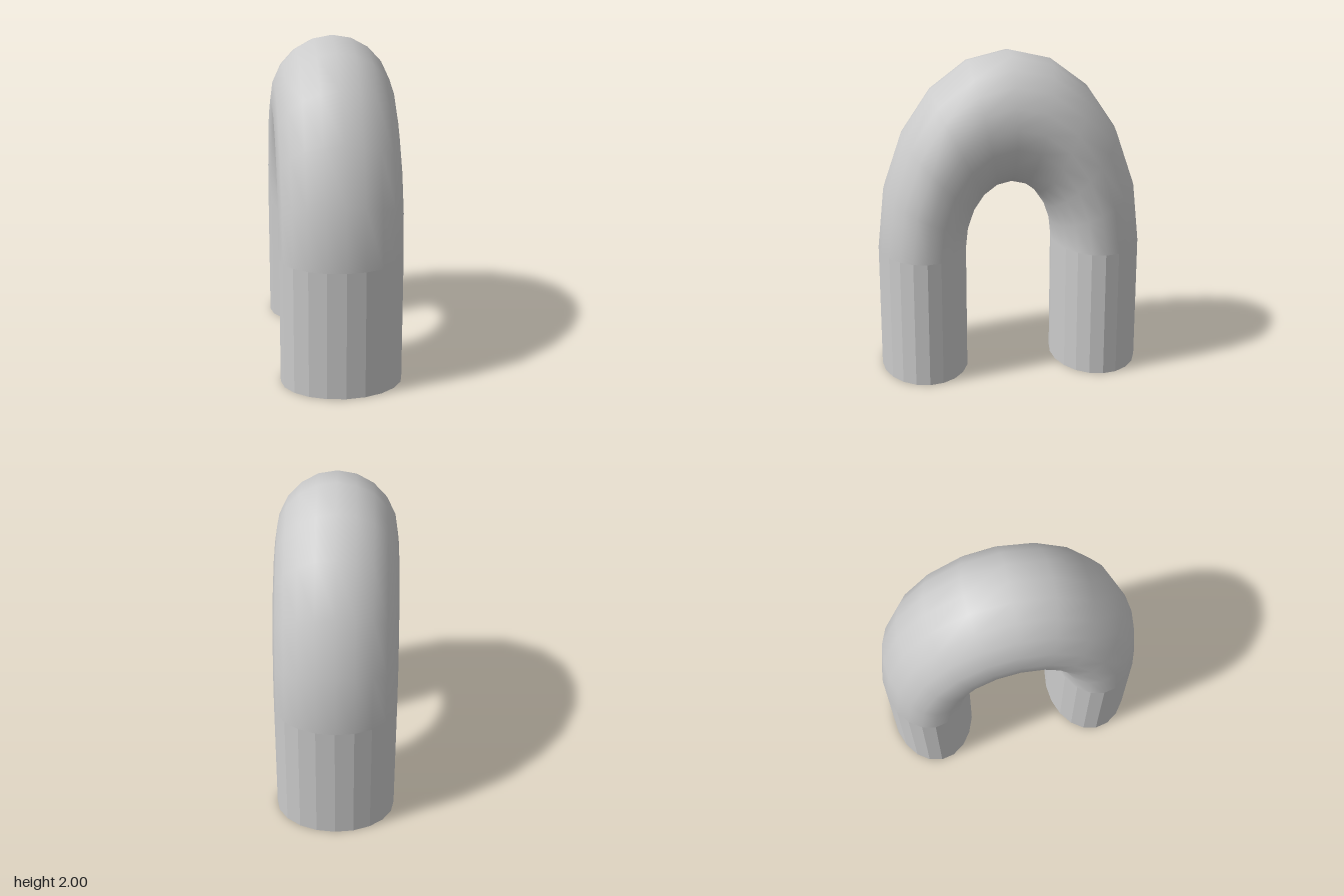
import * as THREE from 'three';

export function createModel() {
  const group = new THREE.Group();
  const ringRadius = 0.543, tubeRadius = 0.272;
  const legHeight = 0.79, archHeight = 1.21, halfWidth = 0.368;
  const sides = 20;
  const widthScale = halfWidth / tubeRadius;

  // Smooth half-ring, stretched upward and widened sideways
  const archGeometry = new THREE.TorusGeometry(ringRadius, tubeRadius, sides, 10, Math.PI);
  archGeometry.rotateY(Math.PI / 2);
  archGeometry.scale(widthScale, archHeight / (ringRadius + tubeRadius), 1);
  const arch = new THREE.Mesh(
    archGeometry,
    new THREE.MeshStandardMaterial({ color: 0xcccccc, side: THREE.DoubleSide })
  );
  arch.name = 'arch';
  arch.position.y = legHeight;
  group.add(arch);

  // Faceted oval legs, hollow and open at the bottom
  const legGeometry = new THREE.CylinderGeometry(tubeRadius, tubeRadius, legHeight, sides, 1, true);
  legGeometry.scale(widthScale, 1, 1);
  const legMaterial = new THREE.MeshStandardMaterial({
    color: 0xcccccc, flatShading: true, side: THREE.DoubleSide
  });
  for (const [name, sign] of [['frontLeg', 1], ['backLeg', -1]]) {
    const leg = new THREE.Mesh(legGeometry, legMaterial);
    leg.name = name;
    leg.position.set(0, legHeight / 2, sign * ringRadius);
    group.add(leg);
  }

  return group;
}
